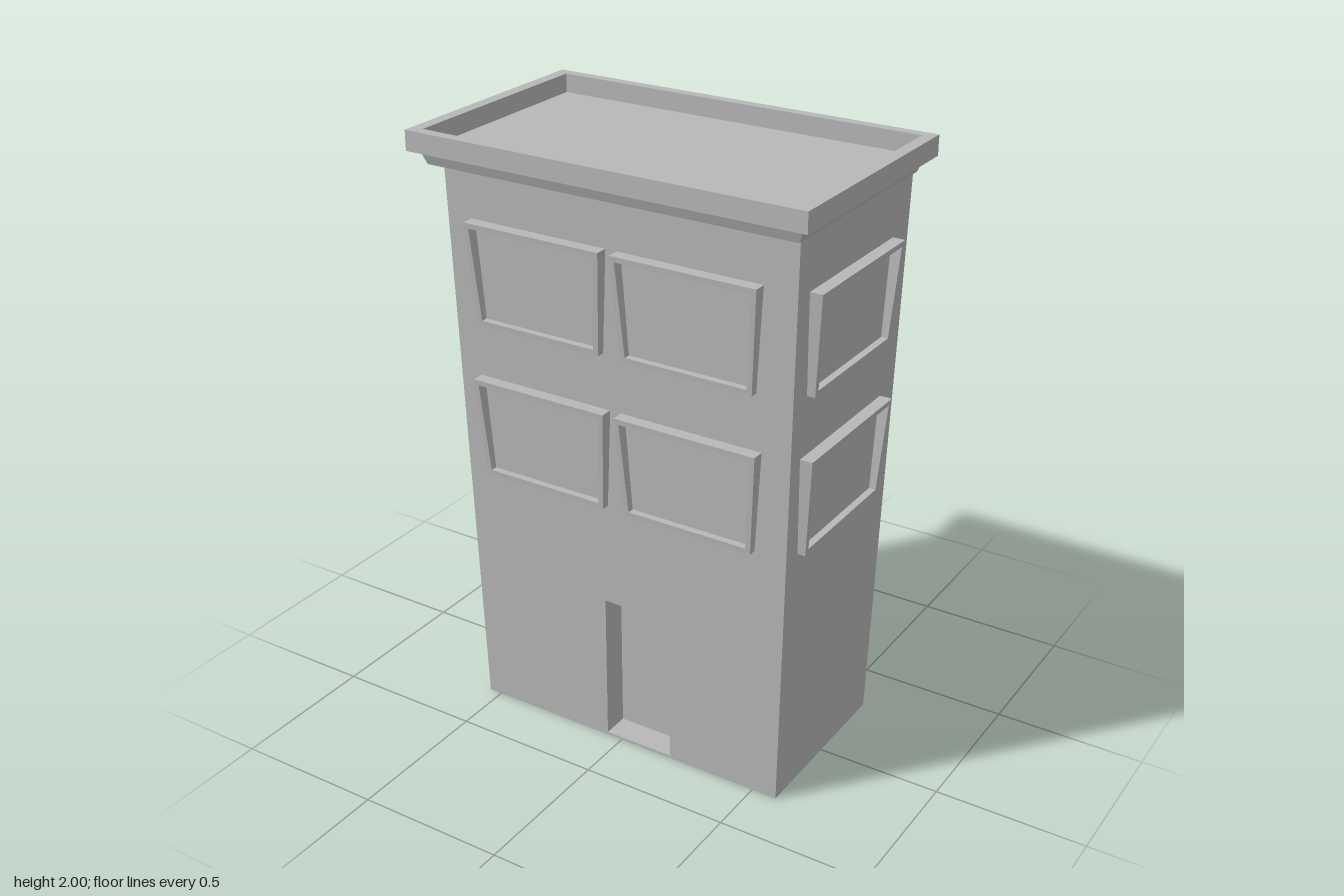
import * as THREE from 'three';

export function createModel() {
  const group = new THREE.Group();
  const stone = new THREE.MeshStandardMaterial({ color: 0xb8b8b8, side: THREE.DoubleSide });
  stone.name = 'grey stone';

  const add = (name, geometry, x = 0, y = 0, z = 0) => {
    const mesh = new THREE.Mesh(geometry, stone);
    mesh.name = name;
    mesh.position.set(x, y, z);
    group.add(mesh);
    return mesh;
  };
  const shapeOf = pts => new THREE.Shape(pts.map(p => new THREE.Vector2(...p)));

  // Walls lean outwards as they rise
  const H = 1.9;
  const xRight = y => 0.585 + 0.045 * y / H;
  const xLeft = y => -0.545 - 0.04 * y / H;
  const zFront = y => 0.305 + 0.04 * y / H;
  const toFront = (s, y, d) => [s, y, zFront(y) + d];
  const toRight = (s, y, d) => [xRight(y) + d, y, -s];
  const toLeft = (s, y, d) => [xLeft(y) - d, y, s];

  // Moves flat (s, y, depth) geometry onto a leaning wall
  const mapTo = (geometry, rule) => {
    const g = geometry.index ? geometry.toNonIndexed() : geometry;
    const p = g.attributes.position;
    for (let i = 0; i < p.count; i++) p.setXYZ(i, ...rule(p.getX(i), p.getY(i), p.getZ(i)));
    g.computeVertexNormals();
    return g;
  };

  // Wall outline, with an optional doorway cut from the bottom edge
  const wall = (name, bottom, top, door, rule) => {
    const notch = door ? [[door[0], 0], [door[0], 0.53], [door[1], 0.53], [door[1], 0]] : [];
    const pts = [[bottom[0], 0], ...notch, [bottom[1], 0], [top[1], H], [top[0], H]];
    add(name, mapTo(new THREE.ShapeGeometry(shapeOf(pts)), rule));
  };
  wall('frontWall', [xLeft(0), xRight(0)], [xLeft(H), xRight(H)], [-0.055, 0.19], toFront);
  wall('leftWall', [-0.305, 0.305], [-0.345, 0.345], null, toRight);
  wall('rightWall', [-0.305, 0.305], [-0.345, 0.345], [-0.155, 0.13], toLeft);

  // Back wall slab, slightly wider than the building on one side
  add('backWall', mapTo(new THREE.BoxGeometry(1, 1, 1), (x, y, z) => {
    const h = (y + 0.5) * H;
    return [x > 0 ? xRight(h) : -0.553 - 0.047 * h / H, h, -zFront(h) + (z > 0 ? 0.025 : 0)];
  }));

  // Front doorway recess
  for (const [name, x] of [['doorJambRight', -0.06], ['doorJambLeft', 0.195]])
    add(name, new THREE.BoxGeometry(0.01, 0.53, 0.095), x, 0.265, 0.2575);
  add('doorLintel', new THREE.BoxGeometry(0.265, 0.01, 0.1), 0.0675, 0.535, 0.26);
  add('doorPanel', new THREE.BoxGeometry(0.265, 0.53, 0.01), 0.0675, 0.265, 0.21);
  add('doorStep', new THREE.BoxGeometry(0.245, 0.01, 0.09), 0.0675, 0.005, 0.26);

  // Rounded alcove behind the side opening
  const alcove = add('sideAlcove',
    new THREE.CylinderGeometry(0.1425, 0.1425, 0.53, 20, 1, true, 0, Math.PI), -0.548, 0.265, -0.0125);
  alcove.scale.x = 1.1;
  add('groundCeiling', new THREE.BoxGeometry(1.1, 0.01, 0.59), 0.015, 0.545, 0);

  // Window frames: trapezoids that stand out further at the top
  const addWindow = (name, top, bottom, y0, y1, rule) => {
    const outline = i => [[bottom[0] + i, y0 + i], [bottom[1] - i, y0 + i],
      [top[1] - i, y1 - i], [top[0] + i, y1 - i]];
    const shape = shapeOf(outline(0));
    shape.holes.push(shapeOf(outline(0.017)));
    const standOut = (s, y, d) => rule(s, y, d * (0.026 + 0.015 * (y - y0) / (y1 - y0)));
    add(name + 'Frame', mapTo(new THREE.ExtrudeGeometry(shape, { depth: 1, bevelEnabled: false }), standOut));
    add(name + 'Pane', mapTo(new THREE.ShapeGeometry(shapeOf(outline(0.017))),
      (s, y) => rule(s, y, 0.004)));
  };
  for (const y of [0.885, 1.405]) {
    addWindow('frontWindow', [-0.493, -0.007], [-0.473, -0.026], y, y + 0.335, toFront);
    addWindow('frontWindow', [0.032, 0.518], [0.052, 0.498], y, y + 0.335, toFront);
    addWindow('sideWindow', [-0.275, 0.238], [-0.255, 0.22], y - 0.01, y + 0.315, toRight);
  }

  // Sloping cornice below the parapet
  add('cornice', mapTo(new THREE.BoxGeometry(2, 1, 2), (x, y, z) => {
    const t = y + 0.5;
    return [x * (0.635 + 0.016 * t), 1.89 + 0.045 * t, z * (0.36 + 0.016 * t)];
  }));

  // Parapet ring around a sunken flat roof
  const rect = (a, b) => shapeOf([[-a, -b], [a, -b], [a, b], [-a, b]]);
  const ring = rect(0.68, 0.403);
  ring.holes.push(rect(0.64, 0.368));
  const parapet = new THREE.ExtrudeGeometry(ring, { depth: 0.065, bevelEnabled: false });
  add('parapet', parapet.rotateX(-Math.PI / 2), 0, 1.935, 0);
  add('roofDeck', new THREE.BoxGeometry(1.28, 0.006, 0.736), 0, 1.935, 0);

  return group;
}
